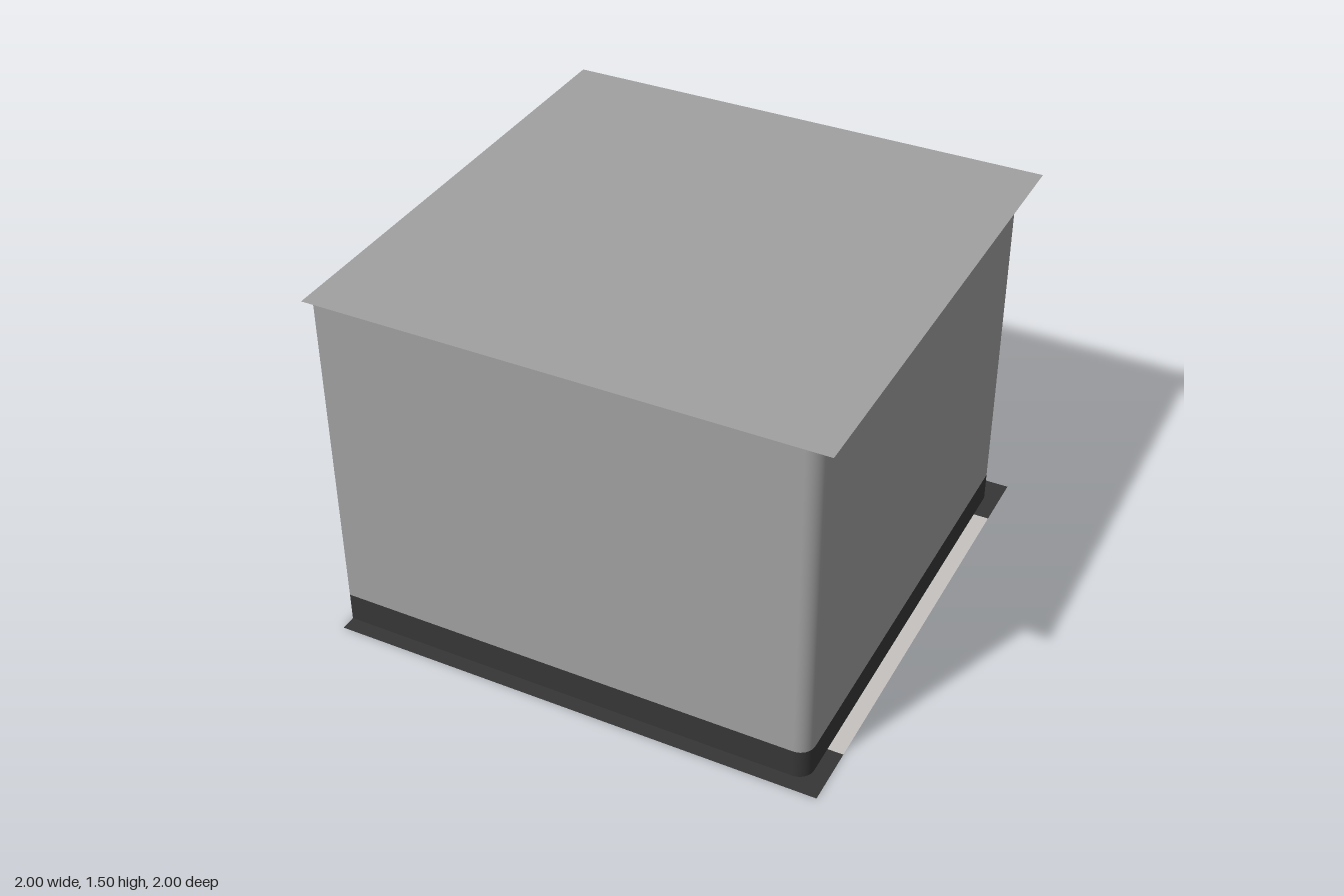
import * as THREE from 'three';

const WALL = 0.9375, RADIUS = 0.06, HEIGHT = 1.5, SKIRTING = 0.12, FLOOR_EDGE = 0.76;

const material = (name, color) => {
  const m = new THREE.MeshStandardMaterial({ color, side: THREE.DoubleSide });
  m.name = name;
  return m;
};

// U-shaped plan of the walls as [x, z, normalX, normalZ], open towards -x
function wallPlan() {
  const plan = [[-1, WALL, 0, 1]];
  const steps = 8, c = WALL - RADIUS;
  for (const side of [1, -1]) {
    for (let i = 0; i <= steps; i++) {
      const a = (side > 0 ? 1 - i / steps : -i / steps) * Math.PI / 2;
      const nx = Math.cos(a), nz = Math.sin(a);
      plan.push([c + RADIUS * nx, side * c + RADIUS * nz, nx, nz]);
    }
  }
  plan.push([-1, -WALL, 0, -1]);
  return plan;
}

// Upright band following the plan between two heights, facing outwards
function wallBand(y0, y1) {
  const positions = [], normals = [], index = [];
  wallPlan().forEach(([x, z, nx, nz], i) => {
    positions.push(x, y0, z, x, y1, z);
    normals.push(nx, 0, nz, nx, 0, nz);
    if (i > 0) {
      const a = 2 * (i - 1), b = 2 * i;
      index.push(a, b, b + 1, a, b + 1, a + 1);
    }
  });
  const g = new THREE.BufferGeometry();
  g.setAttribute('position', new THREE.Float32BufferAttribute(positions, 3));
  g.setAttribute('normal', new THREE.Float32BufferAttribute(normals, 3));
  g.setIndex(index);
  return g;
}

// Flat horizontal sheet across the full width, from z0 to z1
function sheet(y, z0, z1) {
  return new THREE.PlaneGeometry(2, z1 - z0).rotateX(-Math.PI / 2).translate(0, y, (z0 + z1) / 2);
}

export function createModel() {
  const grey = material('wall grey', 0xa0a0a1);
  const dark = material('skirting charcoal', 0x363636);
  const pale = material('floor pale grey', 0xc6c2bf);

  const model = new THREE.Group();
  model.name = 'corridorEnd';
  const add = (name, geometry, mat) => {
    const mesh = new THREE.Mesh(geometry, mat);
    mesh.name = name;
    model.add(mesh);
  };

  // Walls with a dark skirting along the bottom
  add('walls', wallBand(SKIRTING, HEIGHT), grey);
  add('skirting', wallBand(0, SKIRTING), dark);

  // Floor walkway between two dark borders
  add('walkway', sheet(0, -FLOOR_EDGE, FLOOR_EDGE), pale);
  add('leftFloorBorder', sheet(0, FLOOR_EDGE, 1), dark);
  add('rightFloorBorder', sheet(0, -1, -FLOOR_EDGE), dark);

  add('ceiling', sheet(HEIGHT, -1, 1), grey);
  return model;
}
